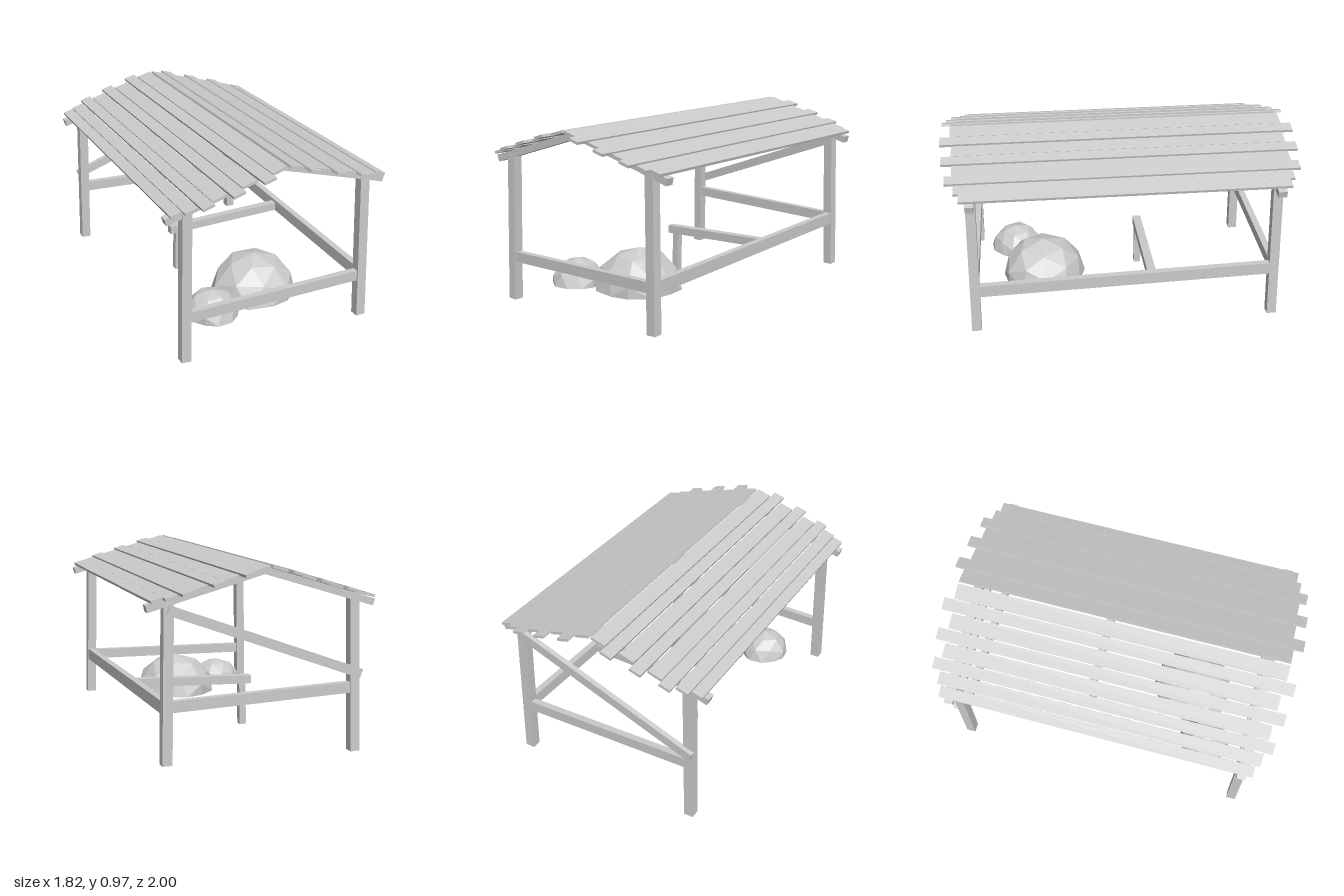
import * as THREE from 'three';

const wood = new THREE.MeshStandardMaterial({ color: 0xcccccc, flatShading: true });
const V = (x, y, z) => new THREE.Vector3(x, y, z);

// Square-cut timber running from a to b
function timber(name, a, b, width, height, up = V(0, 1, 0)) {
  const mesh = new THREE.Mesh(new THREE.BoxGeometry(width, height, a.distanceTo(b)), wood);
  mesh.name = name;
  mesh.up.copy(up);
  mesh.position.copy(a).add(b).multiplyScalar(0.5);
  mesh.lookAt(b);
  return mesh;
}

// Faceted half-dome boulder with a flat underside
function boulder(name, x, z, radius, height, turn) {
  const geo = new THREE.IcosahedronGeometry(1, 1);
  const p = geo.attributes.position;
  for (let i = 0; i < p.count; i++) {
    const px = p.getX(i), py = p.getY(i), pz = p.getZ(i);
    const k = 1 + 0.04 * Math.sin(5 * px + 3 * pz + turn);
    p.setXYZ(i, px * k * radius, Math.max(py, 0) * height, pz * k * radius);
  }
  geo.computeVertexNormals();
  const mesh = new THREE.Mesh(geo, wood);
  mesh.name = name;
  mesh.position.set(x, 0.09, z);
  mesh.rotation.y = turn;
  return mesh;
}

// Plank centre height; the right side stands a little higher
const RIDGE = 0.966;
const slope = (side) => (side > 0 ? 0.268 : 0.312);
const roofY = (x) => RIDGE - Math.abs(x) * slope(x);

export function createModel() {
  const model = new THREE.Group();
  model.name = 'shelter';
  const frame = new THREE.Group();
  frame.name = 'timberFrame';
  frame.rotation.y = -Math.PI / 6;
  model.add(frame);

  // Corner posts, splayed slightly at the foot
  for (const sx of [-1, 1]) for (const sz of [-1, 1]) {
    const foot = sx > 0 ? 0.032 : 0.003;
    frame.add(timber('cornerPost', V(sx * 0.495, foot, sz * 0.785),
      V(sx * 0.478, roofY(sx * 0.478) - 0.03, sz * 0.772), 0.05, 0.05, V(0, 0, 1)));
  }

  // Rails on three sides
  frame.add(timber('frontRail', V(-0.485, 0.238, 0.78), V(0.485, 0.263, 0.78), 0.035, 0.055));
  frame.add(timber('sideRail', V(0.495, 0.266, 0.78), V(0.495, 0.31, -0.78), 0.035, 0.063));
  frame.add(timber('backRail', V(-0.485, 0.333, -0.78), V(0.485, 0.312, -0.78), 0.035, 0.055));

  // Diagonal brace across the back
  frame.add(timber('backBrace', V(-0.51, 0.405, -0.812), V(0.485, 0.775, -0.795), 0.028, 0.047));

  // Inner beam carried by a short post
  frame.add(timber('innerBeam', V(-0.19, 0.255, -0.14), V(0.49, 0.285, -0.14), 0.045, 0.045));
  frame.add(timber('shortPost', V(-0.145, 0.003, -0.14), V(-0.14, 0.25, -0.14), 0.037, 0.037, V(0, 0, 1)));

  // Rafters at both gables
  for (const sz of [-1, 1]) for (const sx of [-1, 1]) {
    const drop = 0.027;
    frame.add(timber('rafter', V(-sx * 0.004, RIDGE - drop, sz * 0.772),
      V(sx * 0.585, roofY(sx * 0.585) - drop, sz * 0.772), 0.045, 0.036));
  }

  // Roof planks, long narrow ones alternating with short wide ones
  const planks = [ // centre from ridge, width, half length
    [0.045, 0.076, 0.875], [0.12, 0.06, 0.925], [0.195, 0.076, 0.865], [0.27, 0.06, 0.915],
    [0.343, 0.073, 0.86], [0.414, 0.058, 0.895], [0.48, 0.062, 0.85], [0.544, 0.055, 0.825],
  ];
  for (const sx of [-1, 1]) planks.forEach(([x, width, half], i) => {
    const tilt = Math.atan(slope(sx));
    const plank = new THREE.Mesh(
      new THREE.BoxGeometry(width / Math.cos(tilt), 0.014, half * 2), wood);
    plank.name = 'roofPlank';
    plank.position.set(sx * x, roofY(sx * x) + (i % 2 ? 0.004 : 0), 0);
    plank.rotation.z = -sx * tilt;
    frame.add(plank);
  });

  // Boulders beneath the front end
  model.add(boulder('largeBoulder', -0.15, 0.39, 0.23, 0.215, 0.5));
  model.add(boulder('smallBoulder', -0.49, 0.36, 0.143, 0.135, 1.4));
  return model;
}
